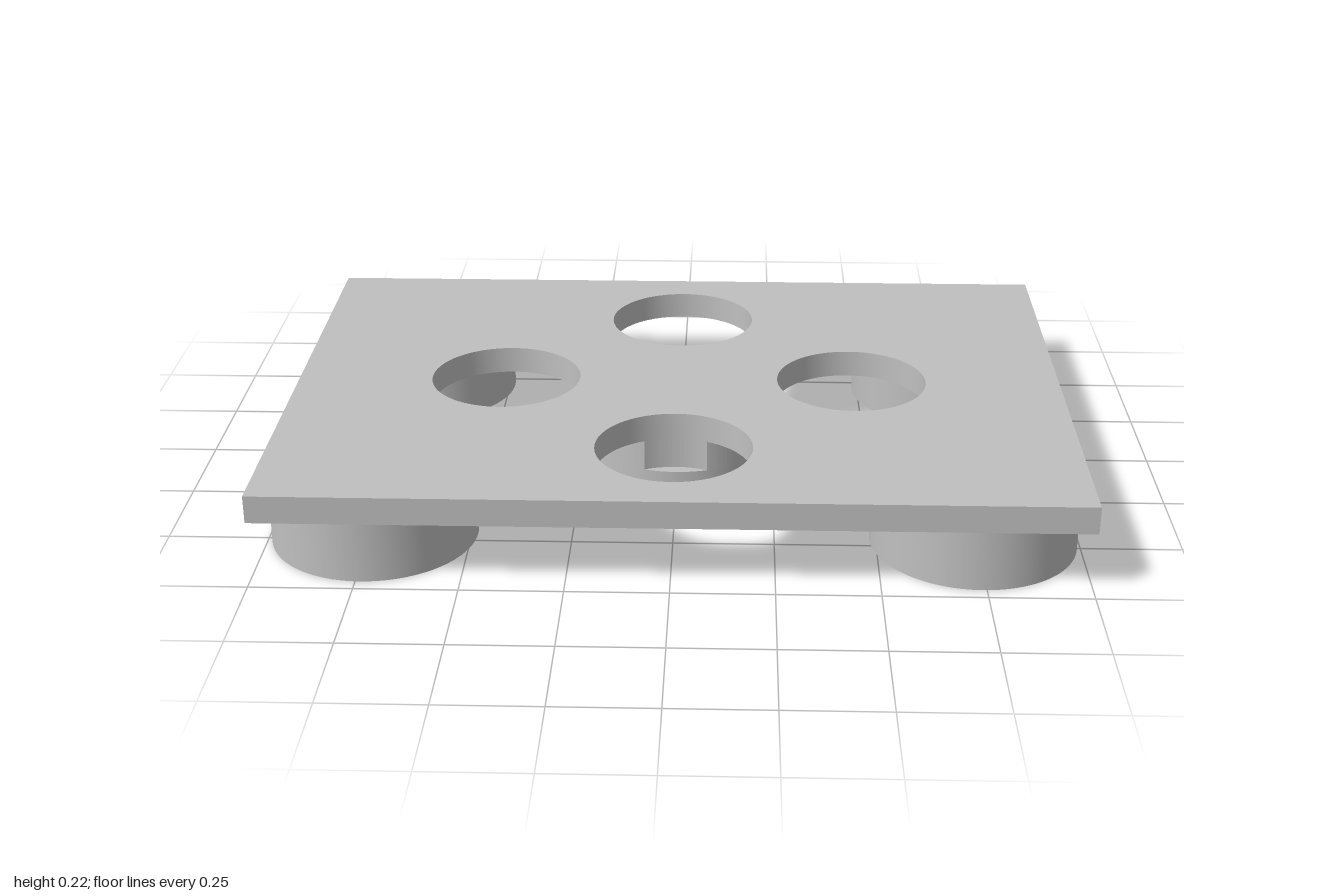
import * as THREE from 'three';
import { toCreasedNormals } from 'three/addons/utils/BufferGeometryUtils.js';

const PLATE_BOTTOM = 0.155, PLATE_TOP = 0.225, NOTCH_FLOOR = 0.075;
const FOOT_R = 0.255, CAVITY_R = 0.224;
const HOLE_R = 0.195, HOLE_Z = 0.42, HOLE_X = 0.455;

const grey = new THREE.MeshStandardMaterial({ color: 0xc0c0c0 });
grey.name = 'light grey';

function circle(Type, x, y, r) {
  const c = new Type();
  c.absarc(x, y, r, 0, Math.PI * 2, false);
  return c;
}

// Upright prism between two heights, with smooth round walls and sharp rims
function prism(name, shape, y0, y1) {
  const g = new THREE.ExtrudeGeometry(shape, { depth: y1 - y0, bevelEnabled: false, curveSegments: 48 });
  g.rotateX(-Math.PI / 2);
  g.translate(0, y0, 0);
  const mesh = new THREE.Mesh(toCreasedNormals(g, 0.6), grey);
  mesh.name = name;
  return mesh;
}

function ring(name, x, y, outer, inner, y0, y1) {
  const s = circle(THREE.Shape, x, y, outer);
  s.holes.push(circle(THREE.Path, x, y, inner));
  return prism(name, s, y0, y1);
}

// Foot wall outline bitten by the plate holes in front and behind
function notchedShape() {
  const v = (HOLE_Z ** 2 + FOOT_R ** 2 - HOLE_R ** 2) / (2 * HOLE_Z);
  const a = Math.asin(v / FOOT_R);                // corner angle on the foot
  const b = Math.acos((HOLE_Z - v) / HOLE_R);     // half angle on the hole
  const s = new THREE.Shape();
  s.absarc(0, 0, FOOT_R, -a, a, false);
  s.absarc(0, HOLE_Z, HOLE_R, -Math.PI / 2 + b, -Math.PI / 2 - b, true);
  s.absarc(0, 0, FOOT_R, Math.PI - a, Math.PI + a, false);
  s.absarc(0, -HOLE_Z, HOLE_R, Math.PI / 2 + b, Math.PI / 2 - b, true);
  s.holes.push(circle(THREE.Path, 0, 0, CAVITY_R));
  return s;
}

// Hollow round foot with four small tubes inside
function makeFoot(name, x, z, notched) {
  const foot = new THREE.Group();
  foot.name = name;
  foot.add(ring('footWall', 0, 0, FOOT_R, CAVITY_R, 0, notched ? NOTCH_FLOOR : PLATE_BOTTOM));
  if (notched) foot.add(prism('notchedWall', notchedShape(), NOTCH_FLOOR, PLATE_BOTTOM));
  for (const sx of [-1, 1]) {
    for (const sz of [-1, 1]) {
      foot.add(ring('innerTube', sx * 0.095, sz * 0.095, 0.07, 0.046, 0, PLATE_BOTTOM));
    }
  }
  foot.position.set(x, 0, z);
  return foot;
}

export function createModel() {
  const model = new THREE.Group();
  model.name = 'plateOnFeet';

  // Top plate with four round holes
  const s = new THREE.Shape();
  s.moveTo(-1, -0.72);
  s.lineTo(1, -0.72);
  s.lineTo(1, 0.72);
  s.lineTo(-1, 0.72);
  s.closePath();
  for (const k of [-1, 1]) {
    s.holes.push(circle(THREE.Path, 0, k * HOLE_Z, HOLE_R));
    s.holes.push(circle(THREE.Path, k * HOLE_X, 0, HOLE_R));
  }
  model.add(prism('topPlate', s, PLATE_BOTTOM, PLATE_TOP));

  // Centre foot and four corner feet
  model.add(makeFoot('centreFoot', 0, 0, true));
  for (const sx of [-1, 1]) {
    for (const sz of [-1, 1]) {
      model.add(makeFoot('cornerFoot', sx * 0.74, sz * 0.46, false));
    }
  }
  return model;
}
